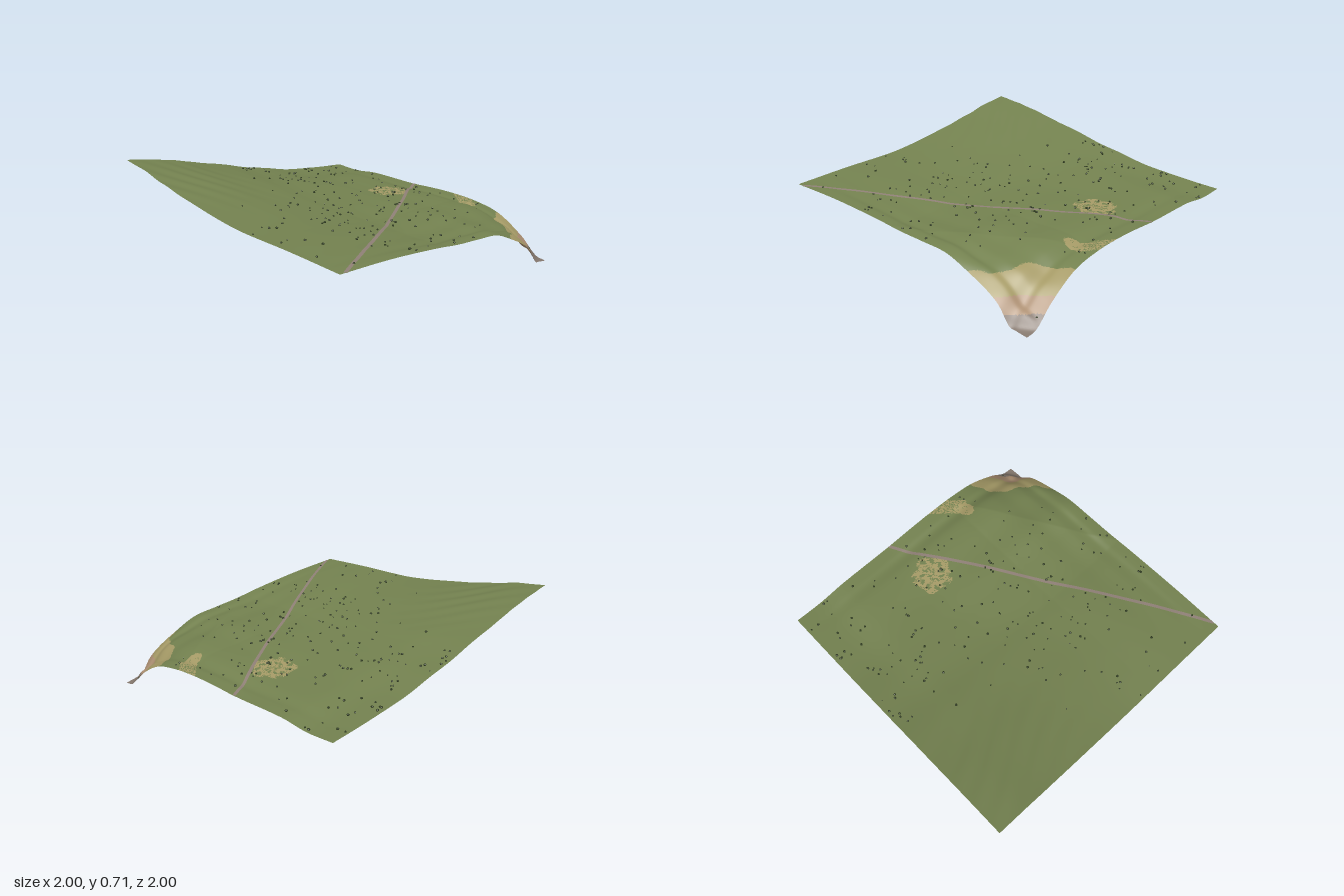
import * as THREE from 'three';
import { mergeGeometries } from 'three/addons/utils/BufferGeometryUtils.js';

const paint = (name, color, side = THREE.DoubleSide) => {
  const m = new THREE.MeshStandardMaterial({ color, side });
  m.name = name;
  return m;
};

// Seeded random numbers
function seeded(seed) {
  return () => {
    seed = (seed * 1664525 + 1013904223) % 4294967296;
    return seed / 4294967296;
  };
}

// Smooth curve through [position, value] points
function curve(points) {
  const n = points.length;
  const slope = i => {
    const a = points[Math.max(i - 1, 0)], b = points[Math.min(i + 1, n - 1)];
    return (b[1] - a[1]) / (b[0] - a[0]);
  };
  return p => {
    if (p <= points[0][0]) return points[0][1];
    if (p >= points[n - 1][0]) return points[n - 1][1];
    let i = 0;
    while (p > points[i + 1][0]) i++;
    const [x0, y0] = points[i], [x1, y1] = points[i + 1];
    const h = x1 - x0, t = (p - x0) / h, t2 = t * t, t3 = t2 * t;
    return y0 * (2 * t3 - 3 * t2 + 1) + y1 * (3 * t2 - 2 * t3)
      + h * slope(i) * (t3 - 2 * t2 + t) + h * slope(i + 1) * (t3 - t2);
  };
}

// Heights along the four edges of the land
const backEdge = curve([[-1, 0.715], [-0.8, 0.685], [-0.6, 0.645], [-0.4, 0.595], [-0.2, 0.55], [0, 0.495],
  [0.2, 0.455], [0.4, 0.41], [0.6, 0.385], [0.8, 0.365], [1, 0.35]]);
const frontEdge = curve([[-1, 0.437], [-0.6, 0.42], [-0.2, 0.385], [0, 0.36], [0.2, 0.345], [0.4, 0.325],
  [0.6, 0.245], [0.72, 0.185], [0.8, 0.125], [0.87, 0.03], [0.92, 0.018], [1, 0.005]]);
const leftEdge = curve([[-1, 0.715], [-0.8, 0.68], [-0.6, 0.63], [-0.4, 0.585], [-0.2, 0.545], [0, 0.51],
  [0.2, 0.485], [0.6, 0.465], [1, 0.437]]);
const rightEdge = curve([[-1, 0.35], [-0.8, 0.335], [-0.6, 0.348], [-0.2, 0.333], [0, 0.335], [0.2, 0.33],
  [0.4, 0.31], [0.6, 0.26], [0.8, 0.135], [0.92, 0.025], [1, 0.005]]);
// Fall of the bank toward the front left corner of the model
const bankFall = curve([[0.95, 0], [1.1, 0.025], [1.2, 0.05], [1.3, 0.09], [1.4, 0.165], [1.48, 0.235],
  [1.53, 0.3], [1.6, 0.325]]);
const fall = (x, z) => bankFall(0.6 * x + z);

// Land height: edges blended inward, plus bank and hillside gullies
function height(x, z) {
  const u = (x + 1) / 2, v = (z + 1) / 2;
  const back = s => backEdge(s) + fall(s, -1), front = s => frontEdge(s) + fall(s, 1);
  const left = s => leftEdge(s) + fall(-1, s), right = s => rightEdge(s) + fall(1, s);
  const sides = left(z) * (1 - u) + right(z) * u;
  const ends = back(x) * (1 - v) + front(x) * v;
  const corners = (back(-1) * (1 - u) + back(1) * u) * (1 - v) + (front(-1) * (1 - u) + front(1) * u) * v;
  const hill = Math.exp(-((x + 0.75) ** 2) / 0.12 - ((z + 0.62) ** 2) / 0.12);
  const gullies = 0.004 * hill * Math.sin(38 * (x - 0.45 * z) + 2 * Math.sin(5 * z));
  const ripple = 0.002 * Math.sin(9 * x + 4 * z) * Math.sin(7 * z - 3 * x) * (1 - x * x) * (1 - z * z);
  return sides + ends - corners - fall(x, z) + gullies + ripple;
}

// Broken patches of dry grass
function inDryPatch(x, z, random) {
  const dx = x - 0.62, dz = z + 0.115;
  const r = Math.hypot(dx, dz), a = Math.atan2(dz, dx);
  const edge = 0.135 + 0.012 * Math.sin(5 * a + 1);
  if (r < edge) {
    const veins = Math.sin(11 * a + 30 * r) + Math.sin(95 * r + 2 * a);
    return veins > -0.75 && random < 0.85;
  }
  if (Math.hypot((x - 0.85) / 0.065, (z - 0.41) / 0.05) < 1) return random < 0.95;
  const along = (x - 0.85) * 0.65 - (z - 0.41) * 0.76;
  const across = (x - 0.85) * 0.76 + (z - 0.41) * 0.65;
  return along > 0 && along < 0.28 && Math.abs(across - 0.025) < 0.055 && random < 0.66;
}

// Land sheet, with one material group for each ground colour
function landGeometry(cells) {
  const positions = [], groups = [[], [], [], []], random = seeded(11);
  for (let j = 0; j <= cells; j++) {
    for (let i = 0; i <= cells; i++) {
      const x = -1 + 2 * i / cells, z = -1 + 2 * j / cells;
      positions.push(x, Math.max(height(x, z), 0), z);
    }
  }
  const ground = corners => {
    const [x, y, z] = [0, 1, 2].map(k => corners.reduce((sum, c) => sum + positions[c * 3 + k], 0) / 3);
    const bank = 0.6 * x + z > 1.05;
    const wobble = 0.006 * Math.sin(34 * x) + 0.02 * Math.exp(-((x - 0.76) ** 2 + (z - 0.74) ** 2) / 0.008);
    if (bank && y < 0.085 + wobble * 0.4) return 3;
    if (bank && y < 0.16 + wobble * 0.6) return 2;
    if (bank && y < 0.262 + wobble) return 1;
    return inDryPatch(x, z, random()) ? 1 : 0;
  };
  const row = cells + 1;
  for (let j = 0; j < cells; j++) {
    for (let i = 0; i < cells; i++) {
      const a = j * row + i, b = a + row;
      for (const tri of [[a, b, a + 1], [b, b + 1, a + 1]]) groups[ground(tri)].push(...tri);
    }
  }
  const geometry = new THREE.BufferGeometry();
  geometry.setAttribute('position', new THREE.Float32BufferAttribute(positions, 3));
  geometry.setIndex(groups.flat());
  let start = 0;
  groups.forEach((g, k) => {
    geometry.addGroup(start, g.length, k);
    start += g.length;
  });
  geometry.computeVertexNormals();
  return geometry;
}

// Thin ribbon following the land
const trackLine = new THREE.CatmullRomCurve3([[-0.96, 1], [-0.6, 0.8], [-0.1, 0.505], [0, 0.44], [0.5, 0.13],
  [0.82, -0.085], [1, -0.185]].map(([x, z]) => new THREE.Vector3(x, 0, z)));
function trackGeometry(lift) {
  const steps = 160, positions = [], index = [];
  for (let i = 0; i <= steps; i++) {
    const p = trackLine.getPointAt(i / steps), t = trackLine.getTangentAt(i / steps);
    for (const s of [-0.011, 0.011]) {
      const x = THREE.MathUtils.clamp(p.x - t.z * s, -1, 1), z = THREE.MathUtils.clamp(p.z + t.x * s, -1, 1);
      positions.push(x, height(x, z) + lift, z);
    }
    const a = 2 * i;
    if (i < steps) index.push(a, a + 1, a + 2, a + 1, a + 3, a + 2);
  }
  const geometry = new THREE.BufferGeometry();
  geometry.setAttribute('position', new THREE.Float32BufferAttribute(positions, 3));
  geometry.setIndex(index);
  geometry.computeVertexNormals();
  return geometry;
}

// Small scattered bushes, sparse on the high hillside and on the bank
function bushGeometry(count) {
  const random = seeded(5), bushes = [];
  while (bushes.length < count) {
    const x = random() * 1.96 - 0.98, z = random() * 1.96 - 0.98, chance = random();
    if (chance > 0.1 && x < -0.1 && z < 0.25 - 0.6 * (x + 1)) continue;
    if (chance > 0.12 && 0.6 * x + z > 1.1) continue;
    if (chance > 0.5 && (x < -0.5 || x > 0.65)) continue;
    const r = 0.005 + 0.005 * random();
    const bush = new THREE.IcosahedronGeometry(r, 0);
    bush.scale(1, 0.85, 1).rotateY(random() * 6).translate(x, height(x, z) + 0.4 * r, z);
    bushes.push(bush);
  }
  return mergeGeometries(bushes);
}

export function createModel() {
  const model = new THREE.Group();
  model.name = 'hillside';
  const add = (name, geometry, material) => {
    const mesh = new THREE.Mesh(geometry, material);
    mesh.name = name;
    model.add(mesh);
  };
  add('land', landGeometry(200), [paint('grass', 0x73814f), paint('drySand', 0xa59a66),
    paint('clay', 0xac8f72), paint('riverbed', 0x85786e)]);
  const dirt = paint('dirt', 0x8f8076);
  add('trackTop', trackGeometry(0.002), dirt);
  add('trackUnderside', trackGeometry(-0.002), dirt);
  const leaves = paint('leaves', 0x2f3b20, THREE.FrontSide);
  leaves.flatShading = true;
  add('bushes', bushGeometry(230), leaves);
  return model;
}
